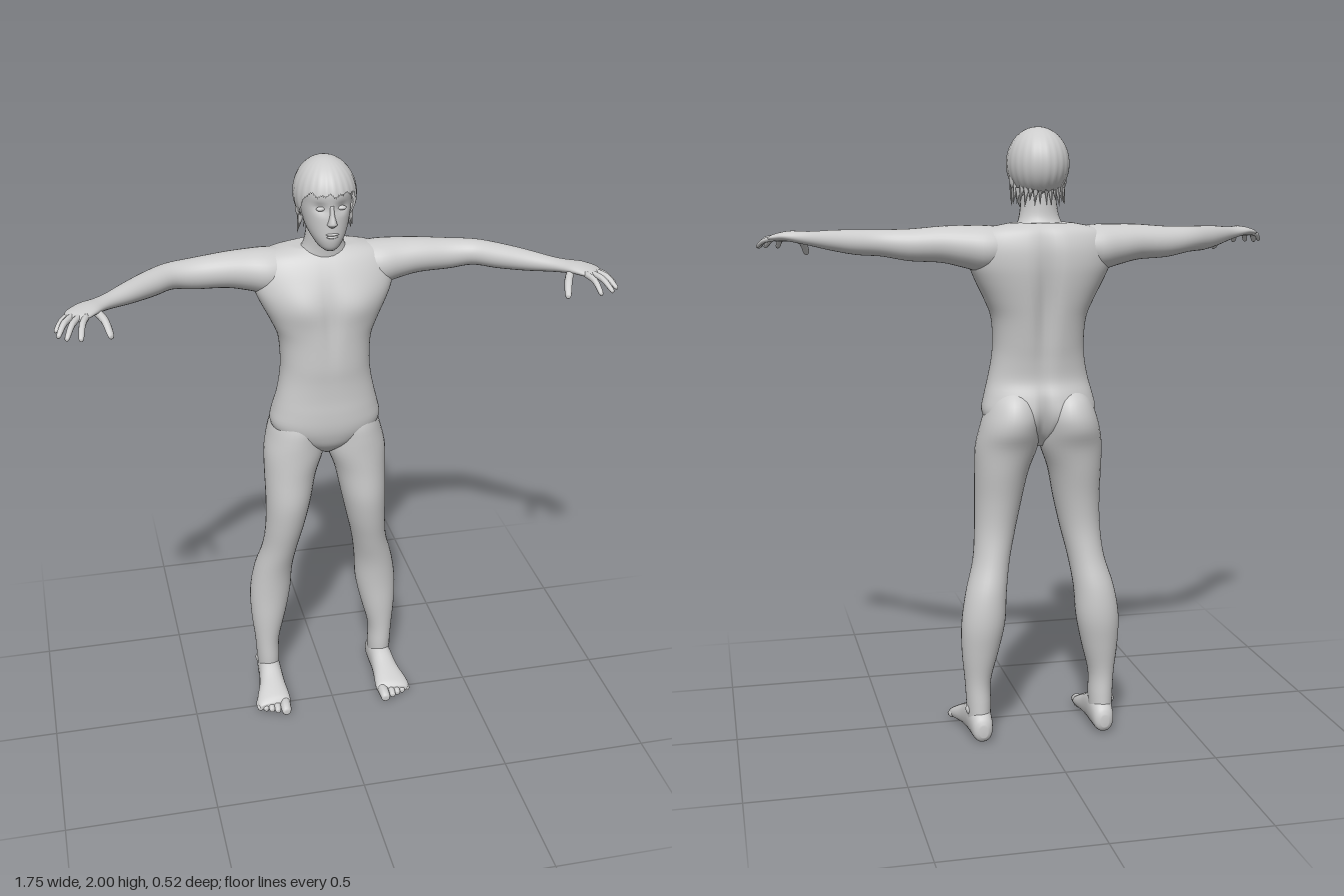
import * as THREE from 'three';
import { mergeVertices } from 'three/addons/utils/BufferGeometryUtils.js';

const UP = new THREE.Vector3(0, 1, 0);
const bell = (d, w) => Math.exp(-((d / w) ** 2));

// Smooth Catmull-Rom subdivision of a list of cross-section rows
function refine(rows, steps) {
  const out = [], n = rows.length - 1;
  for (let i = 0; i < n; i++) {
    const [a, b, c, d] = [Math.max(i - 1, 0), i, i + 1, Math.min(i + 2, n)].map(k => rows[k]);
    for (let s = 0; s < steps; s++) {
      const t = s / steps;
      out.push(b.map((_, k) => b[k] + 0.5 * t * (c[k] - a[k]
        + t * (2 * a[k] - 5 * b[k] + 4 * c[k] - d[k] + t * (3 * (b[k] - c[k]) + d[k] - a[k])))));
    }
  }
  out.push(rows[n]);
  return out;
}

// Closed loft through rows of [x, y, z, halfU, halfV].
// Upright lofts have level rings; the others have rings across a sideways path.
function loft(rows, { upright = false, sides = 24, steps = 4, power = 1, shape } = {}) {
  const rings = refine(rows, steps), pos = [], index = [];
  const at = i => new THREE.Vector3(...rings[Math.min(Math.max(i, 0), rings.length - 1)].slice(0, 3));
  const put = p => { if (shape) shape(p); pos.push(p.x, p.y, p.z); };
  const soft = v => Math.sign(v) * Math.abs(v) ** power;
  rings.forEach((r, i) => {
    const along = at(i + 1).sub(at(i - 1)).setY(0).normalize();
    const U = upright ? new THREE.Vector3(0, 0, 1) : UP.clone().cross(along);
    const V = upright ? new THREE.Vector3(1, 0, 0) : UP;
    for (let j = 0; j < sides; j++) {
      const a = j / sides * Math.PI * 2;
      put(at(i).addScaledVector(U, r[3] * soft(Math.cos(a))).addScaledVector(V, r[4] * soft(Math.sin(a))));
    }
  });
  const last = rings.length - 1, first = rings.length * sides;
  put(at(0));
  put(at(last));
  for (let j = 0; j < sides; j++) {
    const k = (j + 1) % sides;
    for (let i = 0; i < last; i++) {
      const a = i * sides + j, b = i * sides + k;
      index.push(a, b, a + sides, b, b + sides, a + sides);
    }
    index.push(first, k, j, first + 1, last * sides + j, last * sides + k);
  }
  const g = new THREE.BufferGeometry();
  g.setAttribute('position', new THREE.Float32BufferAttribute(pos, 3));
  g.setIndex(index);
  g.computeVertexNormals();
  return g;
}

// Upright loft from bounds: [y, xMin, xMax, zFront, zBack]
const column = (rows, options) => loft(rows.map(([y, x0, x1, zf, zb]) =>
  [(x0 + x1) / 2, y, (zf + zb) / 2, (zf - zb) / 2, (x1 - x0) / 2]), { upright: true, ...options });
// Symmetric upright loft: [y, halfWidth, zFront, zBack]
const trunk = (rows, options) => column(rows.map(([y, w, zf, zb]) => [y, -w, w, zf, zb]), options);

// Tapering digit with a rounded tip
function digit(base, mid, tip, r) {
  const end = tip.map((v, k) => v + (mid[k] - v) * 0.12);
  return loft([[...base, r, r], [...mid, r, r], [...end, r * 0.8, r * 0.75], [...tip, r * 0.25, r * 0.25]],
    { sides: 10, steps: 3 });
}

const blob = (x, y, z, rx, ry, rz) => new THREE.SphereGeometry(1, 20, 14).scale(rx, ry, rz).translate(x, y, z);

function mirrored(geometry) {
  const g = geometry.clone().scale(-1, 1, 1), ix = g.index;
  for (let i = 0; i < ix.count; i += 3) {
    const b = ix.getX(i + 1);
    ix.setX(i + 1, ix.getX(i + 2));
    ix.setX(i + 2, b);
  }
  g.computeVertexNormals();
  return g;
}

// Hair cap: an ellipsoid whose lower edge follows a ragged hairline
function hairCap() {
  let g = new THREE.SphereGeometry(1, 96, 24);
  const p = g.attributes.position, uv = g.attributes.uv;
  for (let i = 0; i < p.count; i++) {
    const a = uv.getX(i) * Math.PI * 2, v = 1 - uv.getY(i);   // a = 0 at the back
    const c = -Math.cos(a);                                  // 1 in front, -1 behind
    const edge = 0.16 - 0.86 * (1 - THREE.MathUtils.smoothstep(c, 0.1, 0.75))
      - 0.1 * Math.max(-c, 0) + 0.06 * Math.sin(a * 16) * Math.cos(a * 5);
    const q = v * Math.acos(edge), s = Math.sin(q);
    const wave = 1 + 0.012 * v * Math.sin(a * 24);
    p.setXYZ(i, -Math.sin(a) * s * 0.099 * wave, 1.885 + 0.115 * Math.cos(q), -0.11 + c * s * 0.125 * wave);
  }
  g.deleteAttribute('uv');
  g.deleteAttribute('normal');
  g = mergeVertices(g, 1e-5);
  // Turn the faces outwards if the rule reversed them
  const ix = g.index, A = new THREE.Vector3(), B = A.clone(), C = A.clone(), q = g.attributes.position;
  const centre = new THREE.Vector3(0, 1.88, -0.11);
  for (let i = 0; i < ix.count; i += 3) {
    A.fromBufferAttribute(q, ix.getX(i)); B.fromBufferAttribute(q, ix.getX(i + 1)); C.fromBufferAttribute(q, ix.getX(i + 2));
    const out = A.clone().sub(centre), n = B.sub(A).cross(C.sub(A));
    if (n.dot(out) < 0) { const t = ix.getX(i + 1); ix.setX(i + 1, ix.getX(i + 2)); ix.setX(i + 2, t); }
  }
  g.computeVertexNormals();
  return g;
}

export function createModel() {
  const model = new THREE.Group();
  model.name = 'standingFigure';
  const grey = new THREE.MeshStandardMaterial({ color: 0xcccccc, side: THREE.DoubleSide });
  grey.name = 'plainGrey';
  const add = (name, g) => { const m = new THREE.Mesh(g, grey); m.name = name; model.add(m); };
  const pair = (name, g) => { add('left' + name, g); add('right' + name, mirrored(g)); };

  // Torso with chest, breastbone, spine and cleft worked in
  add('torso', trunk([
    [0.98, 0.02, -0.07, -0.15], [1.02, 0.1, -0.03, -0.2], [1.06, 0.165, -0.012, -0.23], [1.1, 0.187, -0.004, -0.24],
    [1.15, 0.178, -0.003, -0.232], [1.2, 0.165, -0.005, -0.216], [1.26, 0.153, -0.004, -0.22], [1.32, 0.148, 0, -0.23],
    [1.4, 0.154, 0, -0.243], [1.46, 0.178, -0.002, -0.252], [1.52, 0.208, -0.006, -0.26], [1.57, 0.228, -0.018, -0.264],
    [1.62, 0.23, -0.038, -0.262], [1.66, 0.215, -0.06, -0.252], [1.685, 0.18, -0.08, -0.238], [1.702, 0.1, -0.1, -0.215],
  ], { sides: 72, power: 0.88, shape: p => {
    if (p.z > -0.1) {
      p.z += 0.01 * bell(Math.abs(p.x) - 0.09, 0.06) * bell(p.y - 1.53, 0.06);
      p.z -= 0.01 * bell(p.x, 0.022) * bell(p.y - 1.48, 0.12);
    } else if (p.z < -0.15) {
      p.z += 0.024 * bell(p.x, 0.03) * bell(p.y - 1.45, 0.2);
      p.z += 0.03 * bell(p.x, 0.016) * bell(p.y - 1.07, 0.07);
    }
  } }));

  add('neck', trunk([[1.62, 0.1, -0.08, -0.225], [1.68, 0.082, -0.075, -0.21], [1.715, 0.066, -0.07, -0.19],
    [1.76, 0.058, -0.06, -0.185], [1.82, 0.055, -0.06, -0.185]]));

  // Head with eye sockets
  add('head', trunk([
    [1.722, 0.018, -0.015, -0.055], [1.735, 0.036, -0.004, -0.1], [1.76, 0.053, 0.003, -0.14], [1.79, 0.067, 0.004, -0.18],
    [1.83, 0.077, 0.003, -0.205], [1.87, 0.084, 0, -0.22], [1.91, 0.088, 0.002, -0.225], [1.95, 0.08, -0.018, -0.21],
    [1.98, 0.053, -0.055, -0.17], [1.992, 0.02, -0.09, -0.13],
  ], { sides: 64, shape: p => {
    if (p.z > -0.06) p.z -= 0.012 * bell(Math.abs(p.x) - 0.034, 0.018) * bell(p.y - 1.862, 0.014);
  } }));
  add('nose', trunk([[1.803, 0.008, 0.005, -0.02], [1.812, 0.016, 0.018, -0.02], [1.82, 0.014, 0.023, -0.02],
    [1.845, 0.008, 0.012, -0.02], [1.872, 0.007, 0.003, -0.02]], { sides: 16 }));
  add('upperLip', blob(0, 1.781, 0.002, 0.021, 0.0045, 0.007));
  add('lowerLip', blob(0, 1.773, 0.001, 0.018, 0.005, 0.007));
  pair('Eye', blob(0.034, 1.861, -0.014, 0.014, 0.007, 0.009));
  pair('Ear', blob(0.083, 1.838, -0.115, 0.01, 0.03, 0.018));

  // Hair and loose locks around the ears and nape
  add('hair', hairCap());
  for (let i = 0; i < 9; i++) {
    const a = 0.12 + i * 0.19, s = Math.sin(a), c = Math.cos(a);
    const lock = new THREE.ConeGeometry(0.011, 0.075 - 0.012 * (i % 3), 6).rotateX(Math.PI).rotateZ(0.16 * s)
      .translate(0.083 * s, 1.795 - 0.01 * (i % 2), -0.105 - 0.085 * c);
    pair('Lock' + i, lock);
  }

  // Arms: shoulder, elbow, wrist and palm
  pair('Arm', loft([
    [0.1, 1.628, -0.16, 0.07, 0.06], [0.18, 1.622, -0.155, 0.084, 0.074], [0.25, 1.63, -0.152, 0.072, 0.066],
    [0.32, 1.637, -0.146, 0.061, 0.057], [0.42, 1.636, -0.138, 0.051, 0.05], [0.5, 1.642, -0.116, 0.045, 0.042],
    [0.57, 1.642, -0.062, 0.043, 0.04], [0.64, 1.645, 0.003, 0.037, 0.033], [0.7, 1.648, 0.058, 0.029, 0.024],
    [0.735, 1.651, 0.09, 0.032, 0.02], [0.77, 1.654, 0.121, 0.043, 0.017], [0.805, 1.649, 0.15, 0.044, 0.013],
    [0.82, 1.645, 0.163, 0.03, 0.007],
  ], { sides: 32 }));

  const fingers = [
    [[0.776, 1.65, 0.168], [0.792, 1.642, 0.21], [0.801, 1.612, 0.253]],
    [[0.79, 1.65, 0.153], [0.82, 1.643, 0.2], [0.842, 1.614, 0.245]],
    [[0.806, 1.649, 0.136], [0.842, 1.641, 0.181], [0.865, 1.614, 0.22]],
    [[0.818, 1.647, 0.12], [0.85, 1.638, 0.158], [0.871, 1.618, 0.188]],
  ];
  fingers.forEach((f, i) => pair('Finger' + (i + 1), digit(...f, i === 3 ? 0.0085 : 0.01)));
  pair('Thumb', digit([0.75, 1.647, 0.115], [0.724, 1.63, 0.163], [0.71, 1.593, 0.207], 0.0125));

  // Legs from ankle to buttock
  pair('Leg', column([
    [0.05, 0.172, 0.246, -0.1, -0.205], [0.12, 0.169, 0.25, -0.094, -0.202], [0.2, 0.168, 0.255, -0.094, -0.2],
    [0.3, 0.143, 0.265, -0.09, -0.216], [0.4, 0.122, 0.266, -0.088, -0.23], [0.5, 0.115, 0.25, -0.078, -0.224],
    [0.6, 0.1, 0.222, -0.055, -0.2], [0.7, 0.077, 0.212, -0.03, -0.188], [0.8, 0.055, 0.21, -0.014, -0.196],
    [0.9, 0.034, 0.211, -0.016, -0.216], [0.98, 0.006, 0.21, -0.016, -0.234], [1.04, 0.004, 0.198, -0.016, -0.258],
    [1.09, 0.004, 0.183, -0.02, -0.26], [1.14, 0.02, 0.16, -0.04, -0.238], [1.18, 0.055, 0.125, -0.08, -0.19],
  ], { sides: 32 }));
  pair('AnkleBone', blob(0.245, 0.1, -0.155, 0.01, 0.016, 0.016));

  // Feet and toes
  pair('Foot', loft([
    [0.207, 0.042, -0.224, 0.014, 0.02], [0.207, 0.047, -0.208, 0.033, 0.044], [0.208, 0.06, -0.155, 0.04, 0.06],
    [0.21, 0.056, -0.1, 0.042, 0.056], [0.213, 0.044, -0.05, 0.047, 0.043], [0.218, 0.032, 0, 0.058, 0.031],
    [0.221, 0.025, 0.028, 0.06, 0.023], [0.221, 0.021, 0.043, 0.05, 0.013],
  ], { power: 0.9 }));
  for (let i = 0; i < 5; i++) {
    const x = i ? 0.189 + 0.02 * i : 0.18, tip = i ? 0.078 - 0.009 * i : 0.081, r = i ? 0.0125 : 0.019;
    pair('Toe' + (i + 1), digit([x, 0.024, 0.01], [x + 0.003, 0.022, tip - 0.028], [x + 0.004, 0.015, tip], r));
  }
  return model;
}
